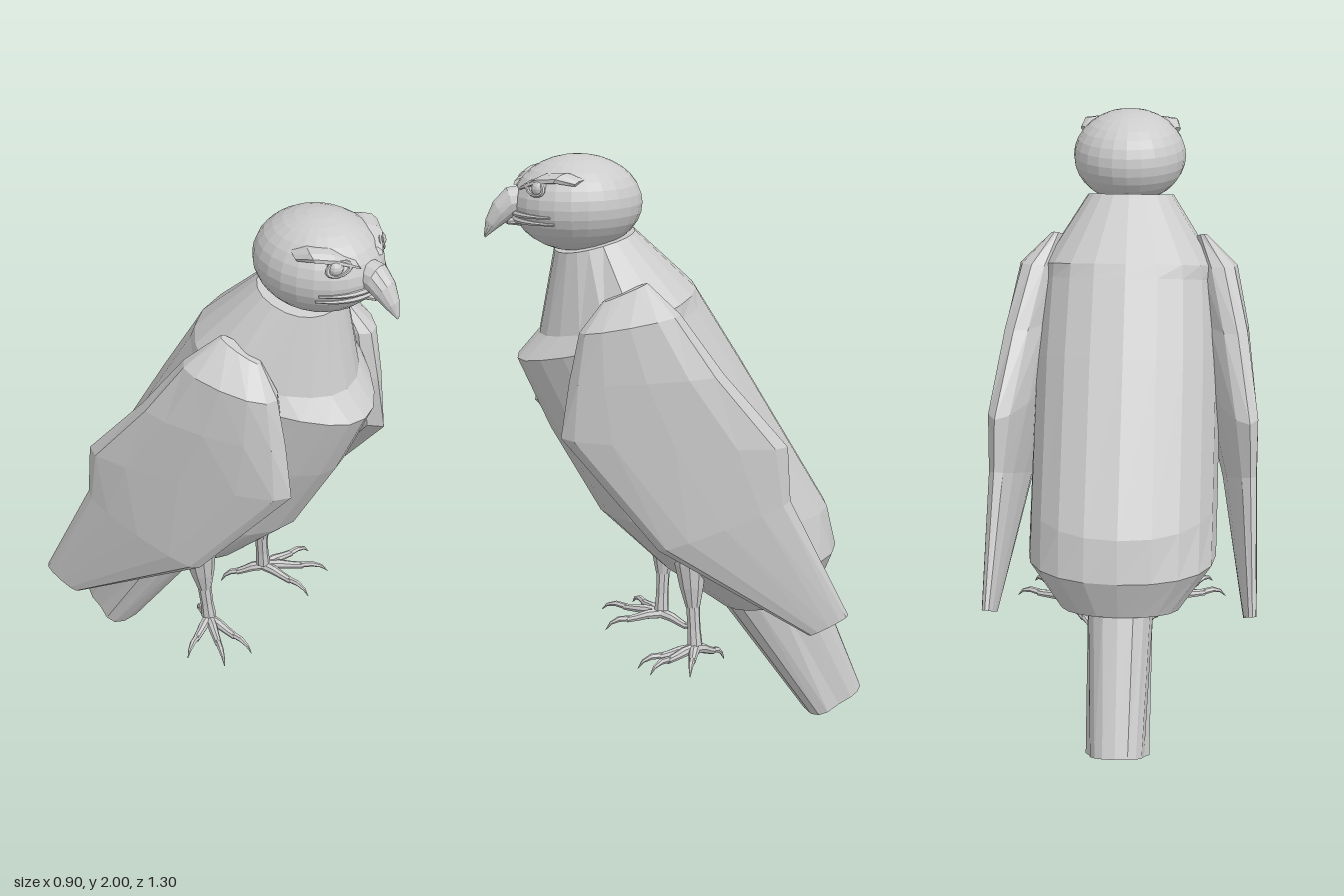
import * as THREE from 'three';

const V = (x, y, z) => new THREE.Vector3(x, y, z);
const grey = new THREE.MeshStandardMaterial({ color: 0xcccccc, flatShading: true });

function add(parent, name, geometry) {
  const mesh = new THREE.Mesh(geometry, grey);
  mesh.name = name;
  parent.add(mesh);
  return mesh;
}

// Closed skin over elliptic rings [centre, half axis A, half axis B, taper].
// Power < 1 makes rings boxier; taper narrows the half on the A side.
function loft(rings, n = 12, power = 1) {
  const pts = [], index = [];
  const bend = v => Math.sign(v) * Math.abs(v) ** power;
  for (const [c, a, b, taper = 0] of rings) {
    for (let i = 0; i < n; i++) {
      const t = (i / n) * Math.PI * 2, u = bend(Math.cos(t));
      const side = bend(Math.sin(t)) * (1 - taper * Math.max(0, u));
      pts.push(c.clone().addScaledVector(a, u).addScaledVector(b, side));
    }
  }
  const last = (rings.length - 1) * n;
  pts.push(rings[0][0].clone(), rings[rings.length - 1][0].clone());
  for (let i = 0; i < n; i++) {
    const j = (i + 1) % n;
    for (let k = 0; k < last; k += n) index.push(k + i, k + j, k + n + i, k + j, k + n + j, k + n + i);
    index.push(pts.length - 2, j, i, pts.length - 1, last + i, last + j);
  }
  // Turn the faces outward
  let volume = 0;
  for (let i = 0; i < index.length; i += 3) {
    const [p, q, r] = [pts[index[i]], pts[index[i + 1]], pts[index[i + 2]]];
    volume += p.dot(q.clone().cross(r));
  }
  if (volume < 0) index.reverse();
  const g = new THREE.BufferGeometry().setFromPoints(pts);
  g.setIndex(index);
  g.computeVertexNormals();
  return g;
}

// Ring spanning a front and a back point with a sideways half axis
const span = (f, b, side, taper) =>
  [f.clone().add(b).multiplyScalar(0.5), f.clone().sub(b).multiplyScalar(0.5), side, taper];

// Rows: front z, front y, back z, back y, half width, taper
const trunk = rows => rows.map(([fz, fy, bz, by, w, k]) => span(V(0, fy, fz), V(0, by, bz), V(w, 0, 0), k));

// Tapered limb through points, one radius per point
function limb(points, radii, n = 8) {
  return loft(points.map((p, i) => {
    const d = points[Math.min(i + 1, points.length - 1)].clone().sub(points[Math.max(i - 1, 0)]).normalize();
    const a = d.clone().cross(Math.abs(d.y) > 0.9 ? V(1, 0, 0) : V(0, 1, 0)).normalize();
    const b = d.cross(a);
    return [p, a.multiplyScalar(radii[i]), b.multiplyScalar(radii[i])];
  }), n);
}

// Head ellipsoid, also used to seat the face details
const head = { c: V(0.007, 1.845, 0.345), r: V(0.19, 0.155, 0.21) };
function onFace(x, y, lift = 0) {
  const u = x / head.r.x, v = (y - head.c.y) / head.r.y;
  return V(x + head.c.x, y, head.c.z + head.r.z * Math.sqrt(Math.max(0, 1 - u * u - v * v)) + lift);
}

function makeHead() {
  const g = new THREE.Group();
  g.name = 'head';
  const skull = add(g, 'skull', new THREE.SphereGeometry(1, 24, 16));
  skull.scale.copy(head.r);
  skull.position.copy(head.c);

  // Hooked beak: centre y, centre z, half height, half width, backward lean
  const hook = [[1.862, 0.52, 0.045, 0.046, 0], [1.853, 0.565, 0.047, 0.048, 0.01], [1.822, 0.598, 0.034, 0.04, 0.02],
    [1.785, 0.625, 0.016, 0.026, 0.018], [1.745, 0.648, 0.003, 0.004, 0.002]];
  add(g, 'upperBeak', loft(hook.map(([y, z, h, w, l]) => [V(0.005, y, z), V(0, h, l), V(w, 0, 0)]), 12));
  add(g, 'lowerBeak', loft([[V(0.005, 1.79, 0.5), V(0, 0.018, 0), V(0.05, 0, 0)],
    [V(0.005, 1.792, 0.575), V(0, 0.01, 0), V(0.02, 0, 0)]], 10));

  // Lips wrapping round the face
  for (const y of [1.8, 1.822]) {
    const path = [];
    for (let i = -6; i <= 6; i++) path.push(onFace(i * 0.026, y, 0.002));
    add(g, 'lip', limb(path, path.map((_, i) => 0.004 + 0.007 * Math.sin((i / 12) * Math.PI)), 6));
  }

  for (const s of [-1, 1]) {
    const eye = add(g, 'eye', new THREE.SphereGeometry(0.026, 12, 8));
    eye.position.copy(onFace(s * 0.108, 1.91, -0.008));
    const lid = add(g, 'eyelid', new THREE.TorusGeometry(0.028, 0.006, 6, 14));
    lid.position.copy(onFace(s * 0.108, 1.91, 0.006));
    lid.rotation.set(-0.35, s * 0.6, 0);
    lid.scale.set(1.3, 0.8, 1);
    // Scowling brow shelf, reaching back into the skull
    const brow = [[0.15, 1.928, 0.36, 0.01], [0.14, 1.944, 0.42, 0.016], [0.095, 1.938, 0.472, 0.018], [0.04, 1.91, 0.515, 0.012]];
    add(g, 'brow', loft(brow.map(([x, y, z, h]) =>
      [V(s * x + 0.007, y, z), V(0, h, -h), V(s * 0.02, 0, 0.024)]), 8, 0.8));
  }
  return g;
}

function makeWing(s) {
  // Leading edge, trailing edge, half thickness
  const rows = [
    [[0.225, 1.56, 0.31], [0.25, 1.62, 0.17], 0.02],
    [[0.245, 1.47, 0.39], [0.32, 1.53, 0.08], 0.07],
    [[0.245, 1.31, 0.425], [0.37, 1.34, -0.05], 0.072],
    [[0.25, 1.13, 0.455], [0.415, 1.1, -0.25], 0.066],
    [[0.35, 0.76, 0.16], [0.42, 0.92, -0.26], 0.043],
    [[0.42, 0.45, -0.33], [0.435, 0.515, -0.46], 0.02],
  ];
  const at = ([x, y, z]) => V(s * x, y, z);
  return loft(rows.map(([f, b, t]) => span(at(f), at(b), V(s * t, 0, t * 0.2))), 12, 0.87);
}

function makeLeg(s, ankle, hip) {
  const g = new THREE.Group();
  g.name = s > 0 ? 'leftLeg' : 'rightLeg';
  const path = t => hip.clone().lerp(ankle, t);
  add(g, 'thigh', limb([0, 0.1, 0.28, 0.48, 0.66].map(path), [0.03, 0.052, 0.055, 0.042, 0.025], 10));
  add(g, 'shank', limb([0.6, 0.85, 1].map(path), [0.024, 0.022, 0.026]));
  // Toes: heading outward from straight ahead, length, drop at the tip
  for (const [heading, length, drop] of [[0.05, 0.145, 0.015], [0.65, 0.17, -0.005], [1.25, 0.145, -0.005], [3.75, 0.11, 0.04]]) {
    const dir = V(s * Math.sin(heading), 0, Math.cos(heading));
    const step = (d, y) => ankle.clone().addScaledVector(dir, d * length).add(V(0, y - d * drop, 0));
    add(g, 'toe', limb([step(0, -0.014), step(0.35, -0.01), step(0.6, -0.014), step(0.85, -0.016)],
      [0.019, 0.017, 0.014, 0.012]));
    add(g, 'claw', limb([step(0.8, -0.014), step(1.05, -0.01), step(1.25, -0.02), step(1.38, -0.042)],
      [0.011, 0.01, 0.006, 0.001], 6));
  }
  return g;
}

export function createModel() {
  const bird = new THREE.Group();
  bird.name = 'perchedBird';

  // Body with a ruffed collar and a keeled breast
  add(bird, 'body', loft(trunk([
    [0.42, 1.69, 0.16, 1.755, 0.145, 0],
    [0.475, 1.42, -0.035, 1.57, 0.295, 0.38],
    [0.55, 1.34, -0.06, 1.53, 0.3, 0.42],
    [0.445, 1.1, -0.2, 1.3, 0.312, 0.36],
    [0.28, 0.8, -0.5, 0.79, 0.313, 0.28],
    [0.08, 0.6, -0.53, 0.65, 0.312, 0.2],
    [-0.13, 0.44, -0.48, 0.51, 0.2, 0],
  ]), 20, 0.9));

  // Tail, narrower on its back, with a hollowed end
  add(bird, 'tail', loft(trunk([
    [-0.12, 0.47, -0.46, 0.56, 0.11, 0],
    [-0.45, 0.0, -0.65, 0.085, 0.09, -0.55],
    [-0.48, 0.045, -0.62, 0.1, 0.065, -0.55],
  ]), 16, 0.82));

  bird.add(makeHead());
  add(bird, 'leftWing', makeWing(1));
  add(bird, 'rightWing', makeWing(-1));
  bird.add(makeLeg(-1, V(-0.155, 0.36, 0.035), V(-0.19, 0.75, 0.01)));
  bird.add(makeLeg(1, V(0.195, 0.36, 0), V(0.15, 0.75, 0.01)));
  return bird;
}
